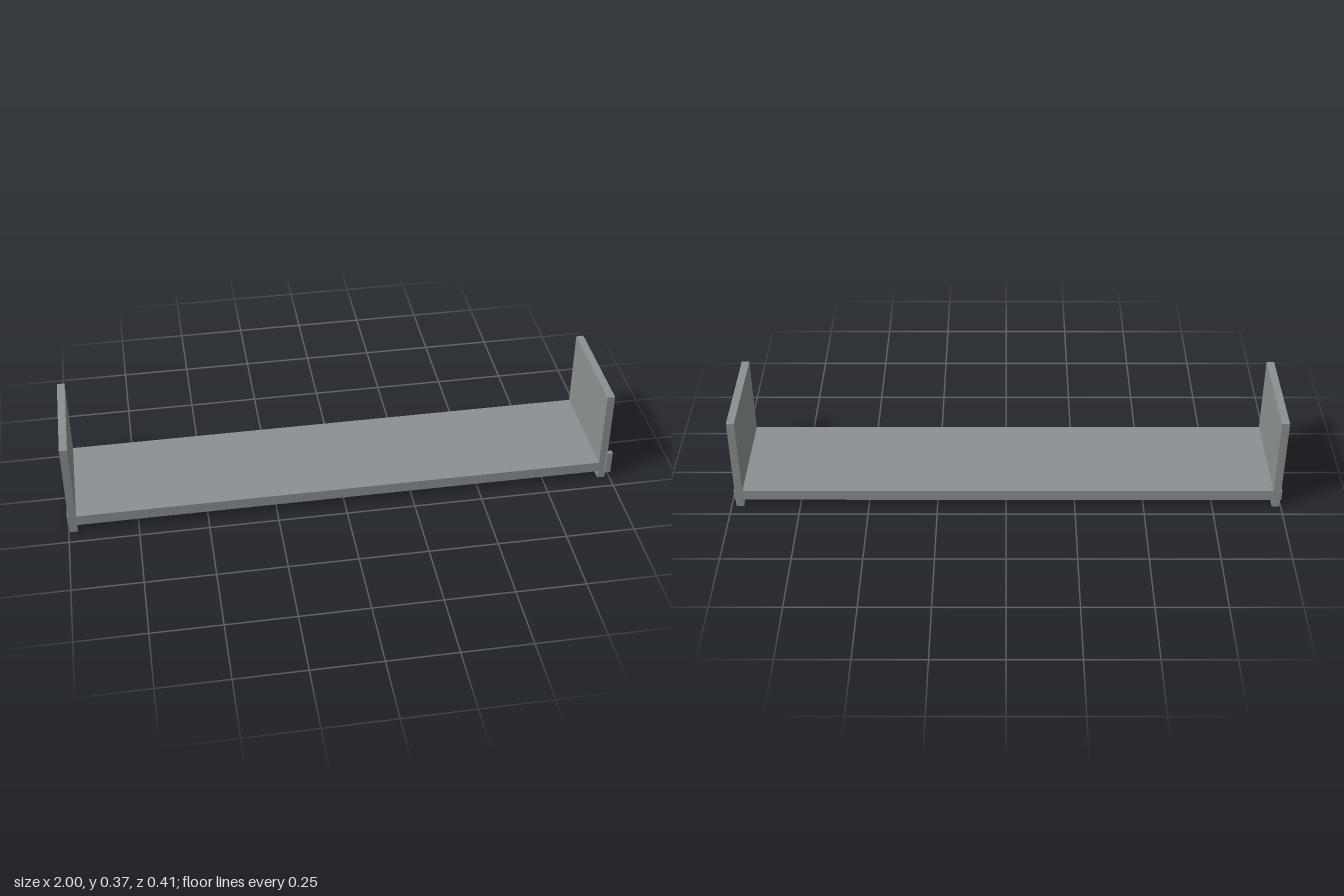
import * as THREE from 'three';

export function createModel() {
  const group = new THREE.Group();
  const grey = new THREE.MeshStandardMaterial({ color: 0x8b9092 });
  grey.name = 'grey';

  // Box given by its lower and upper corners
  const box = (name, [x0, y0, z0], [x1, y1, z1]) => {
    const mesh = new THREE.Mesh(new THREE.BoxGeometry(x1 - x0, y1 - y0, z1 - z0), grey);
    mesh.name = name;
    mesh.position.set((x0 + x1) / 2, (y0 + y1) / 2, (z0 + z1) / 2);
    group.add(mesh);
  };

  const back = -0.204, front = 0.196;

  // Shelf board, its ends standing slightly proud of the end panels
  box('shelfBoard', [-1, 0.03, back], [0.987, 0.07, front]);

  // Upright end panels
  box('rightPanel', [-0.996, 0, back], [-0.968, 0.368, front]);
  box('leftPanel', [0.955, 0, back], [0.983, 0.368, front]);

  // Small catch on the front corner of the left panel
  box('cornerCatch', [0.979, 0.027, 0.187], [1, 0.115, 0.204]);

  return group;
}
